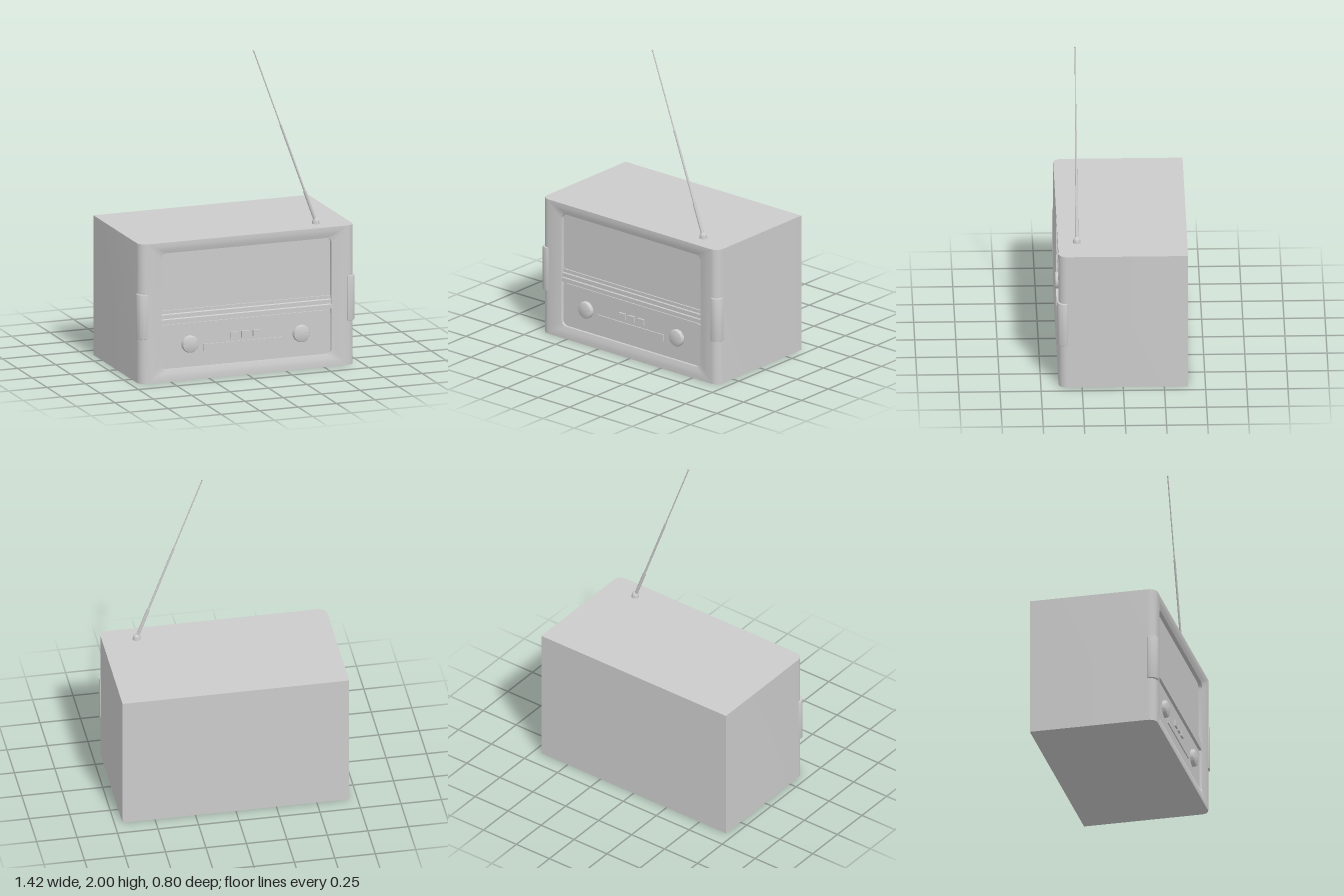
import * as THREE from 'three';
import { toCreasedNormals } from 'three/addons/utils/BufferGeometryUtils.js';

const grey = new THREE.MeshStandardMaterial({ color: 0xcccccc });

function add(parent, name, geometry, x = 0, y = 0, z = 0) {
  const mesh = new THREE.Mesh(geometry, grey);
  mesh.name = name;
  mesh.position.set(x, y, z);
  parent.add(mesh);
  return mesh;
}

// Rounded rectangle ring in the xy plane, counter-clockwise from the front
function ring(halfWidth, y0, y1, r, z) {
  const points = [], steps = 6;
  const corners = [[1, y0 + r, -1], [1, y1 - r, 0], [-1, y1 - r, 1], [-1, y0 + r, 2]];
  for (const [side, cy, quarter] of corners) {
    for (let i = 0; i <= steps; i++) {
      const a = (quarter + i / steps) * Math.PI / 2;
      points.push(new THREE.Vector3(side * (halfWidth - r) + r * Math.cos(a), cy + r * Math.sin(a), z));
    }
  }
  return points;
}

// Skin rings from back to front and cap both ends
function loft(rings) {
  const positions = [];
  const triangle = (a, b, c) => {
    const area = b.clone().sub(a).cross(c.clone().sub(a)).length();
    if (area > 1e-9) for (const p of [a, b, c]) positions.push(p.x, p.y, p.z);
  };
  const n = rings[0].length;
  for (let k = 0; k < rings.length - 1; k++) {
    const a = rings[k], b = rings[k + 1];
    for (let i = 0; i < n; i++) {
      const j = (i + 1) % n;
      triangle(a[i], a[j], b[j]);
      triangle(a[i], b[j], b[i]);
    }
  }
  const back = rings[0], front = rings[rings.length - 1];
  for (let i = 1; i < n - 1; i++) {
    triangle(back[0], back[i + 1], back[i]);
    triangle(front[0], front[i], front[i + 1]);
  }
  const geometry = new THREE.BufferGeometry();
  geometry.setAttribute('position', new THREE.Float32BufferAttribute(positions, 3));
  return toCreasedNormals(geometry, 0.5);
}

export function createModel() {
  const model = new THREE.Group();
  model.name = 'radio';

  // Cabinet: rounded front uprights, sloping frame and recessed face
  const rings = [ring(0.7, 0, 0.875, 0, -0.395)];
  for (let i = 0; i <= 6; i++) {
    const a = i / 6 * Math.PI / 2;
    rings.push(ring(0.65 + 0.05 * Math.cos(a), 0, 0.875, 0, 0.34 + 0.052 * Math.sin(a)));
  }
  rings.push(
    ring(0.625, 0.03, 0.85, 0.01, 0.392),
    ring(0.59, 0.05, 0.83, 0.025, 0.388),
    ring(0.553, 0.075, 0.805, 0.035, 0.379),
    ring(0.553, 0.075, 0.805, 0.035, 0.355),
  );
  add(model, 'cabinet', loft(rings));

  // Ribbed band across the face
  const profile = new THREE.Shape([
    [0.35, 0.36], [0.376, 0.36], [0.376, 0.385], [0.37, 0.39], [0.37, 0.415],
    [0.364, 0.42], [0.364, 0.44], [0.35, 0.44],
  ].map(([z, y]) => new THREE.Vector2(z, y)));
  const band = new THREE.ExtrudeGeometry(profile, { depth: 1.106, bevelEnabled: false });
  band.rotateY(-Math.PI / 2).translate(0.553, 0, 0);
  add(model, 'dividerBand', band);

  // Control panel with knobs, buttons and tuning strip
  add(model, 'controlPanel', loft([
    ring(0.553, 0.075, 0.35, 0.035, 0.35), ring(0.553, 0.075, 0.35, 0.035, 0.363),
  ]));
  const knobProfile = [[0, 0], [0.053, 0], [0.053, 0.018], [0.049, 0.025], [0.035, 0.03], [0, 0.032]]
    .map(([r, h]) => new THREE.Vector2(r, h));
  for (const x of [-0.366, 0.358]) {
    const knob = toCreasedNormals(new THREE.LatheGeometry(knobProfile, 32), 0.6);
    add(model, 'knob', knob, x, 0.22, 0.362).rotation.x = Math.PI / 2;
  }
  for (const x of [-0.078, -0.005, 0.07]) {
    add(model, 'button', new THREE.BoxGeometry(0.05, 0.04, 0.02), x, 0.25, 0.365);
  }
  add(model, 'tuningStrip', new THREE.BoxGeometry(0.525, 0.042, 0.016), -0.013, 0.189, 0.362);

  // Curved grips wrapped around the front corners
  for (const side of [-1, 1]) {
    const plan = new THREE.Shape();
    const steps = 10;
    for (let i = 0; i <= steps; i++) {
      const a = i / steps * Math.PI / 2;
      const r = 0.05 + 0.009 * Math.sin(2 * a) + 0.004;
      plan.lineTo(side * (0.65 + r * Math.cos(a)), -(0.342 + r * Math.sin(a)));
    }
    plan.lineTo(side * 0.65, -0.342);
    const grip = new THREE.ExtrudeGeometry(plan, {
      depth: 0.272, bevelEnabled: true, bevelSize: 0.002, bevelThickness: 0.004, bevelSegments: 2,
    });
    grip.rotateX(-Math.PI / 2);
    add(model, 'cornerGrip', toCreasedNormals(grip, 0.5), 0, 0.284, 0);
  }

  // Telescopic antenna leaning to the right
  const antenna = new THREE.Group();
  antenna.name = 'antenna';
  model.add(antenna);
  add(antenna, 'antennaBase', new THREE.CylinderGeometry(0.022, 0.024, 0.018, 24), 0.49, 0.884, 0.277);
  add(antenna, 'antennaPivot', new THREE.SphereGeometry(0.021, 24, 16), 0.49, 0.89, 0.277);
  const foot = new THREE.Vector3(0.49, 0.885, 0.277);
  const tip = new THREE.Vector3(0.085, 1.995, 0.277);
  const direction = tip.clone().sub(foot).normalize();
  for (const [t0, t1, r] of [[0, 0.18, 0.01], [0.17, 0.57, 0.0065], [0.56, 1, 0.0038]]) {
    const a = foot.clone().lerp(tip, t0), b = foot.clone().lerp(tip, t1);
    const rod = add(antenna, 'antennaSection', new THREE.CylinderGeometry(r, r, a.distanceTo(b), 16));
    rod.position.copy(a.add(b).multiplyScalar(0.5));
    rod.quaternion.setFromUnitVectors(new THREE.Vector3(0, 1, 0), direction);
  }
  add(antenna, 'antennaTip', new THREE.SphereGeometry(0.006, 12, 8), tip.x, 1.994, tip.z);

  return model;
}
